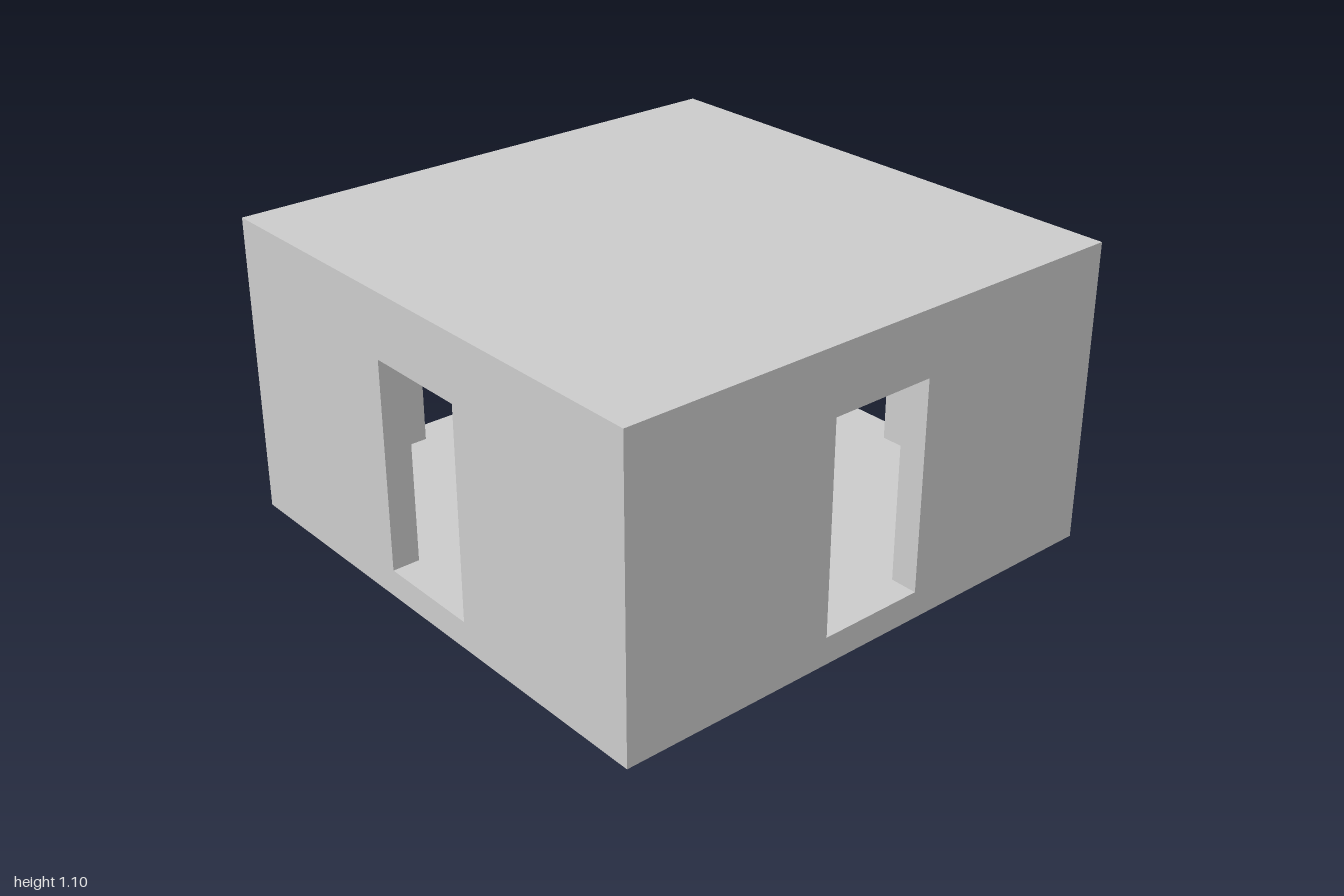
import * as THREE from 'three';

const T = 0.1;        // thickness of walls and slabs
const HEIGHT = 1.1;

export function createModel() {
  const model = new THREE.Group();
  model.name = 'room';
  const material = new THREE.MeshStandardMaterial({ color: 0xcccccc, flatShading: true });

  const add = (name, geometry) => {
    const mesh = new THREE.Mesh(geometry, material);
    mesh.name = name;
    model.add(mesh);
  };

  // Floor and roof slabs
  for (const [name, y] of [['floor', T / 2], ['roof', HEIGHT - T / 2]]) {
    add(name, new THREE.BoxGeometry(2, T, 2).translate(0, y, 0));
  }

  // Wall between the slabs, notched by a doorway that reaches the floor
  const wall = (name, halfWidth, doorHalf, doorTop, angle) => {
    const outline = new THREE.Shape([
      [-halfWidth, T], [-doorHalf, T], [-doorHalf, doorTop], [doorHalf, doorTop],
      [doorHalf, T], [halfWidth, T], [halfWidth, HEIGHT - T], [-halfWidth, HEIGHT - T],
    ].map(([x, y]) => new THREE.Vector2(x, y)));
    const geometry = new THREE.ExtrudeGeometry(outline, { depth: T, bevelEnabled: false });
    add(name, geometry.translate(0, 0, 1 - T).rotateY(angle));
  };

  // Three narrow doorways and one wide opening; side walls fit between front and back
  wall('frontWall', 1, 0.2, 0.865, 0);
  wall('backWall', 1, 0.2, 0.865, Math.PI);
  wall('leftWall', 1 - T, 0.2, 0.865, Math.PI / 2);
  wall('rightWall', 1 - T, 0.4, 0.9, -Math.PI / 2);

  return model;
}
